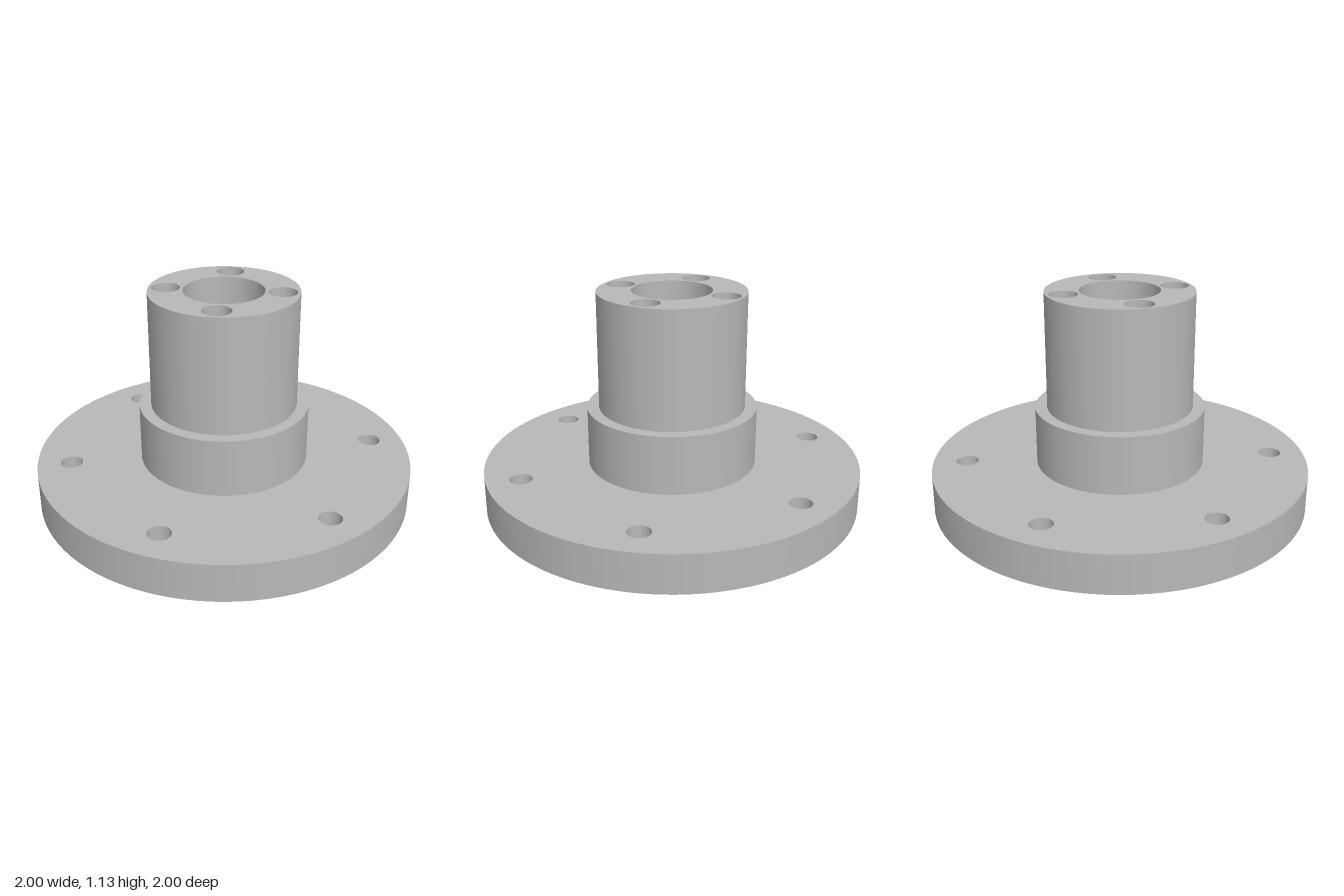
import * as THREE from 'three';

const SEG = 96;
const steel = new THREE.MeshStandardMaterial({ color: 0xb8b8b8 });
steel.name = 'steel grey';

const BORE = 0.207;
const Y = { base: 0, flange: 0.205, collar: 0.515, top: 1.13 };
const R = { flange: 1, collar: 0.447, hub: 0.385 };

function mesh(name, geometry) {
  const m = new THREE.Mesh(geometry, steel);
  m.name = name;
  return m;
}

// Round wall: faces outward when y1 > y0, inward when y1 < y0
function wall(name, r, y0, y1, x = 0, z = 0) {
  const g = new THREE.LatheGeometry([new THREE.Vector2(r, y0), new THREE.Vector2(r, y1)], SEG);
  return mesh(name, g.translate(x, 0, z));
}

// Flat disc with round holes, each [x, z, radius]
function face(name, r, y, holes, up = true, x = 0, z = 0) {
  const shape = new THREE.Shape().absarc(0, 0, r, 0, Math.PI * 2);
  const s = up ? -1 : 1;
  for (const [hx, hz, hr] of holes) {
    shape.holes.push(new THREE.Path().absarc(hx, s * hz, hr, 0, Math.PI * 2, true));
  }
  const g = new THREE.ShapeGeometry(shape, SEG / 2).rotateX(s * Math.PI / 2);
  return mesh(name, g.translate(x, y, z));
}

// Evenly spaced holes on a pitch circle
function holeCircle(count, pitch, r, start) {
  return Array.from({ length: count }, (_, i) => {
    const a = start + (i / count) * Math.PI * 2;
    return [Math.cos(a) * pitch, Math.sin(a) * pitch, r];
  });
}

function part(name, ...children) {
  const g = new THREE.Group();
  g.name = name;
  g.add(...children);
  return g;
}

export function createModel() {
  const boltHoles = holeCircle(6, 0.82, 0.059, Math.PI / 2);
  const topHoles = holeCircle(4, 0.296, 0.073, Math.PI / 4);
  const holeFloor = Y.top - 0.31;

  // Wide base disc with six through holes
  const flange = part('flange',
    wall('flangeRim', R.flange, Y.base, Y.flange),
    face('flangeTop', R.flange, Y.flange, [[0, 0, R.collar], ...boltHoles]),
    face('flangeUnderside', R.flange, Y.base, [[0, 0, BORE], ...boltHoles], false),
    ...boltHoles.map(([x, z, r]) => wall('boltHole', r, Y.flange, Y.base, x, z)));

  // Stepped shoulder
  const collar = part('collar',
    wall('collarWall', R.collar, Y.flange, Y.collar),
    face('collarTop', R.collar, Y.collar, [[0, 0, R.hub]]));

  // Upright hub with four blind holes in its end
  const hub = part('hub',
    wall('hubWall', R.hub, Y.collar, Y.top),
    face('hubTop', R.hub, Y.top, [[0, 0, BORE], ...topHoles]));
  for (const [x, z, r] of topHoles) {
    hub.add(
      wall('blindHoleWall', r, Y.top, holeFloor, x, z),
      face('blindHoleFloor', r, holeFloor, [], true, x, z));
  }

  // Central bore through the full height
  const bore = wall('bore', BORE, Y.top, Y.base);

  return part('flangedHub', flange, collar, hub, bore);
}
